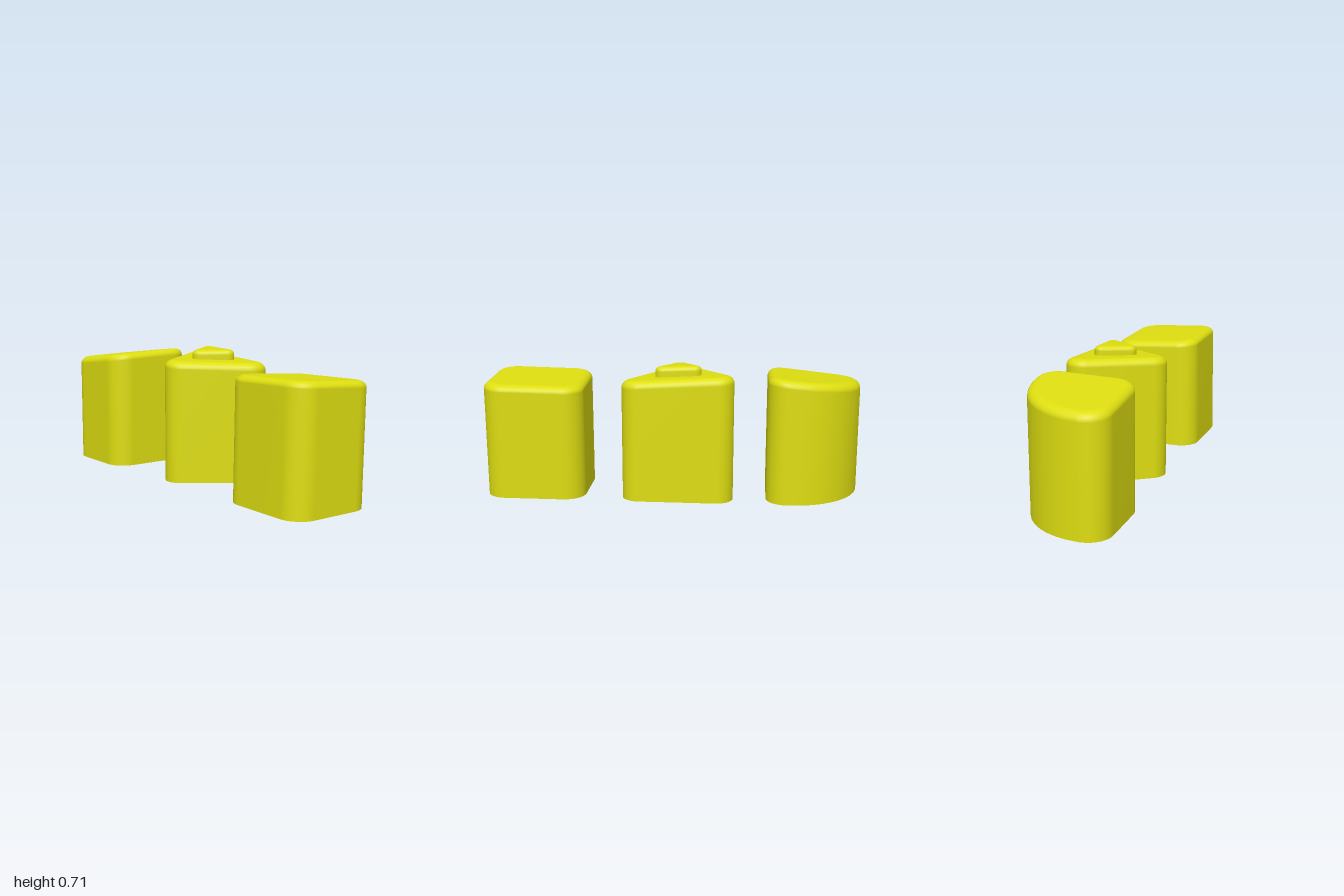
import * as THREE from 'three';

const yellow = new THREE.MeshStandardMaterial({ color: 0xdddd11, side: THREE.DoubleSide });
yellow.name = 'yellow';

// Outline made of arcs [cx, cz, radius, startDegrees, endDegrees], pulled in by inset
function outline(arcs, inset) {
  const steps = 10, pts = [];
  for (const [cx, cz, r, start, end] of arcs) {
    for (let i = 0; i <= steps; i++) {
      const a = THREE.MathUtils.degToRad(start + (end - start) * i / steps);
      pts.push([cx + (r - inset) * Math.cos(a), cz + (r - inset) * Math.sin(a)]);
    }
  }
  return pts;
}

// Open-bottomed shell: straight walls, rounded rim and a sloping top plane
function shell(name, { arcs, base = 0, top, inset, drop, shear = 0 }) {
  const position = [], index = [], bevelSteps = 6;
  const n = outline(arcs, 0).length;
  const add = (x, y, z) => position.push(x, y, z - shear * y);
  for (const [x, z] of outline(arcs, 0)) add(x, base, z);
  for (let k = 0; k <= bevelSteps; k++) {
    const t = k / bevelSteps * Math.PI / 2;
    for (const [x, z] of outline(arcs, inset * (1 - Math.cos(t)))) {
      add(x, top(x, z) - drop * (1 - Math.sin(t)), z);
    }
  }
  const rings = bevelSteps + 2;
  for (let k = 0; k < rings - 1; k++) {
    for (let i = 0; i < n; i++) {
      const j = (i + 1) % n, lo = k * n, up = lo + n;
      index.push(lo + i, up + i, lo + j, up + i, up + j, lo + j);
    }
  }
  // Top face as a fan round its middle
  const last = (rings - 1) * n, rim = outline(arcs, inset);
  const cx = rim.reduce((s, p) => s + p[0], 0) / n;
  const cz = rim.reduce((s, p) => s + p[1], 0) / n;
  add(cx, top(cx, cz), cz);
  for (let i = 0; i < n; i++) index.push(rings * n, last + (i + 1) % n, last + i);

  const geometry = new THREE.BufferGeometry();
  geometry.setAttribute('position', new THREE.Float32BufferAttribute(position, 3));
  geometry.setIndex(index);
  geometry.computeVertexNormals();
  const mesh = new THREE.Mesh(geometry, yellow);
  mesh.name = name;
  return mesh;
}

export function createModel() {
  const group = new THREE.Group();
  group.name = 'threeCaps';

  // Block with one large rounded back corner
  group.add(shell('quarterRoundBlock', {
    arcs: [
      [-0.61, 0.145, 0.11, 0, 90],
      [-0.88, 0.135, 0.12, 90, 180],
      [-0.62, 0.13, 0.38, 180, 270],
      [-0.61, -0.14, 0.11, 270, 360],
    ],
    top: (x, z) => 0.635 + 0.11 * (x + 0.75) - 0.03 * z,
    inset: 0.05, drop: 0.04,
  }));

  // Triangular block with a small triangular button on top
  group.add(shell('triangleBlock', {
    arcs: [
      [-0.03, 0.13, 0.092, 35, 145],
      [-0.235, -0.16, 0.09, 145, 270],
      [0.175, -0.16, 0.09, 270, 395],
    ],
    top: (x) => 0.654 - 0.055 * (x + 0.03),
    inset: 0.05, drop: 0.04,
  }));
  group.add(shell('triangleButton', {
    arcs: [
      [-0.03, 0.014, 0.04, 35, 145],
      [-0.115, -0.108, 0.037, 145, 270],
      [0.055, -0.108, 0.037, 270, 395],
    ],
    base: 0.635,
    top: (x, z) => 0.703 - 0.035 * (x + 0.03) - 0.03 * (z + 0.05),
    inset: 0.028, drop: 0.025,
  }));

  // Rounded square block, leaning slightly back
  group.add(shell('squareBlock', {
    arcs: [
      [0.89, 0.12, 0.11, 0, 90],
      [0.578, 0.12, 0.11, 90, 180],
      [0.578, -0.14, 0.11, 180, 270],
      [0.89, -0.14, 0.11, 270, 360],
    ],
    top: (x, z) => 0.624 + 0.02 * (x - 0.73) + 0.06 * z,
    inset: 0.05, drop: 0.035, shear: 0.018,
  }));

  return group;
}
